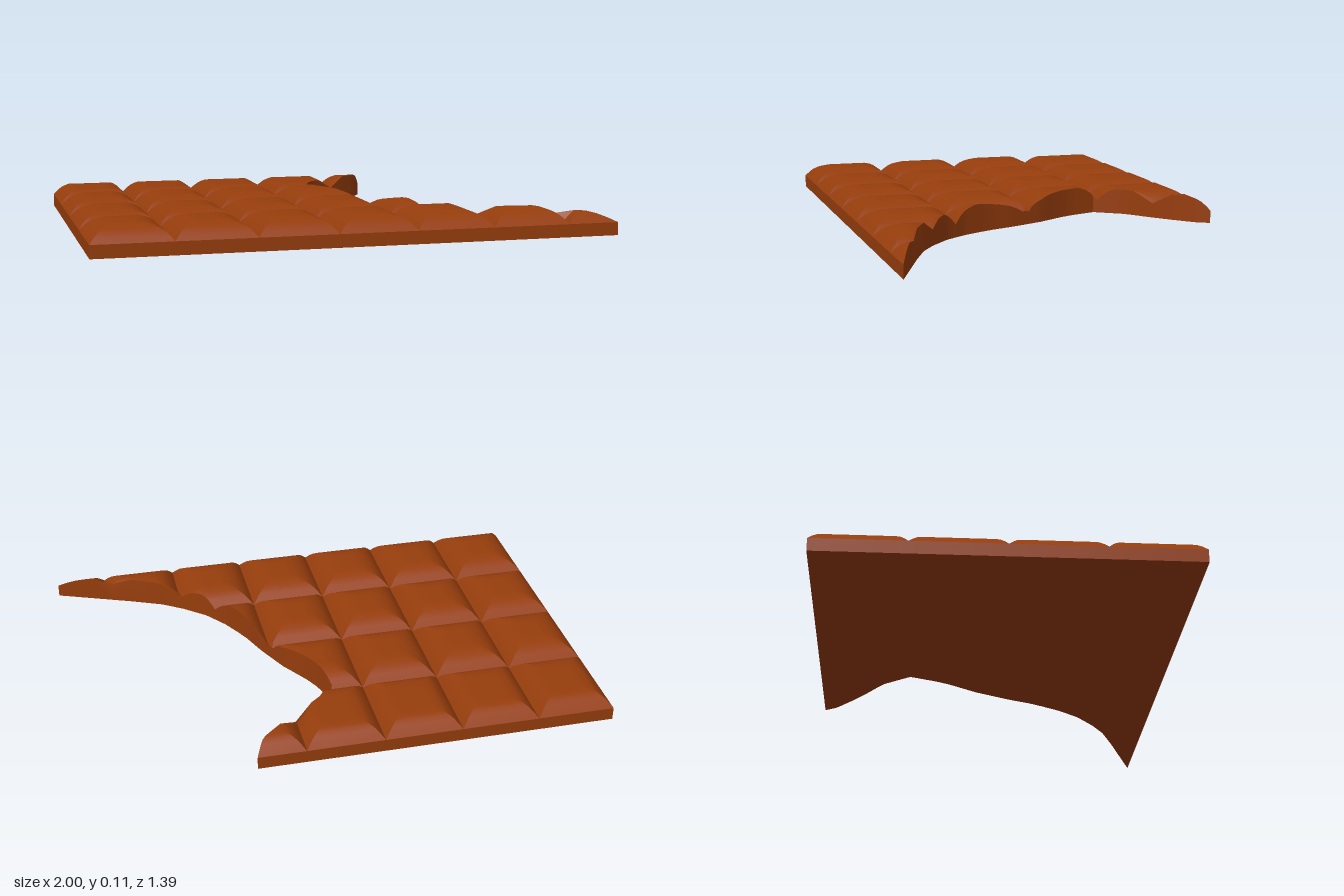
import * as THREE from 'three';
import { toCreasedNormals } from 'three/addons/utils/BufferGeometryUtils.js';

// Linear interpolation through [key, value] pairs
function lerpTable(table, t) {
  for (let i = 1; i < table.length; i++) {
    const [a, va] = table[i - 1], [b, vb] = table[i];
    if (t <= b) return va + (vb - va) * Math.max(0, (t - a) / (b - a));
  }
  return table[table.length - 1][1];
}

// Bar layout
const X0 = -1, Z0 = -0.695, TILE_X = 0.3, TILE_Z = 0.3475, COLS = 7, ROWS = 4;

// Rounded shoulder of a square: distance from its groove -> height
const SHOULDER = [[0, 0.05], [0.015, 0.068], [0.03, 0.083], [0.045, 0.093], [0.06, 0.1], [0.09, 0.11]];

// Bitten edge: z -> x
const BITE = [
  [-0.695, 0.385], [-0.645, 0.355], [-0.545, 0.24], [-0.445, 0.1], [-0.335, 0.02],
  [-0.2, 0.07], [-0.06, 0.16], [0.075, 0.225], [0.19, 0.27], [0.305, 0.335],
  [0.39, 0.4], [0.475, 0.5], [0.535, 0.595], [0.62, 0.81], [0.695, 1],
];

// Height of the moulded top; the back row is slightly lower
function topHeight(x, z) {
  const edge = (v, size) => {
    const r = v - Math.floor(v / size + 1e-6) * size;
    return Math.max(0, Math.min(r, size - r));
  };
  const y = lerpTable(SHOULDER, Math.min(edge(x - X0, TILE_X), edge(z - Z0, TILE_Z)));
  return z < Z0 + TILE_Z ? Math.min(y, 0.101) : y;
}

// Grid lines that follow the shoulder of every square
function gridLines(start, size, count) {
  const half = [...SHOULDER.map(([d]) => d), 0.12, size / 2];
  const tile = [...half, ...half.slice(1, -1).reverse().map((d) => size - d)];
  const lines = [];
  for (let i = 0; i < count; i++) lines.push(...tile.map((d) => start + i * size + d));
  return [...lines, start + count * size];
}

function barGeometry() {
  const positions = [];
  const tri = (a, b, c) => {
    const area = new THREE.Vector3().subVectors(b, a).cross(new THREE.Vector3().subVectors(c, a)).length();
    if (area > 1e-8) for (const p of [a, b, c]) positions.push(p.x, p.y, p.z);
  };
  // The higher diagonal keeps the mitred corners crisp
  const quad = (a, b, c, d) => {
    if (a.y + c.y >= b.y + d.y) { tri(a, b, c); tri(a, c, d); }
    else { tri(a, b, d); tri(b, c, d); }
  };
  const floor = (p) => new THREE.Vector3(p.x, 0, p.z);
  const wall = (a, b) => quad(floor(a), floor(b), b, a);

  const xs = gridLines(X0, TILE_X, COLS);
  const grid = gridLines(Z0, TILE_Z, ROWS).map((z) => {
    const cut = lerpTable(BITE, z);
    return xs.map((x) => {
      const cx = Math.min(x, cut);
      return new THREE.Vector3(cx, topHeight(cx, z), z);
    });
  });
  const last = xs.length - 1, end = grid.length - 1;

  for (let j = 0; j < end; j++) {
    const a = grid[j], b = grid[j + 1];
    // Moulded top
    for (let i = 0; i < last; i++) quad(a[i], b[i], b[i + 1], a[i + 1]);
    // Left wall, bitten wall and underside
    wall(a[0], b[0]);
    wall(b[last], a[last]);
    quad(floor(a[0]), floor(a[last]), floor(b[last]), floor(b[0]));
  }
  // Front and back walls
  for (let i = 0; i < last; i++) {
    wall(grid[end][i], grid[end][i + 1]);
    wall(grid[0][i + 1], grid[0][i]);
  }

  const geometry = new THREE.BufferGeometry();
  geometry.setAttribute('position', new THREE.Float32BufferAttribute(positions, 3));
  return toCreasedNormals(geometry, 0.6);
}

export function createModel() {
  const group = new THREE.Group();
  group.name = 'bittenChocolate';
  const bar = new THREE.Mesh(barGeometry(), new THREE.MeshStandardMaterial({ color: 0x963d0c }));
  bar.name = 'chocolateBar';
  group.add(bar);
  return group;
}
